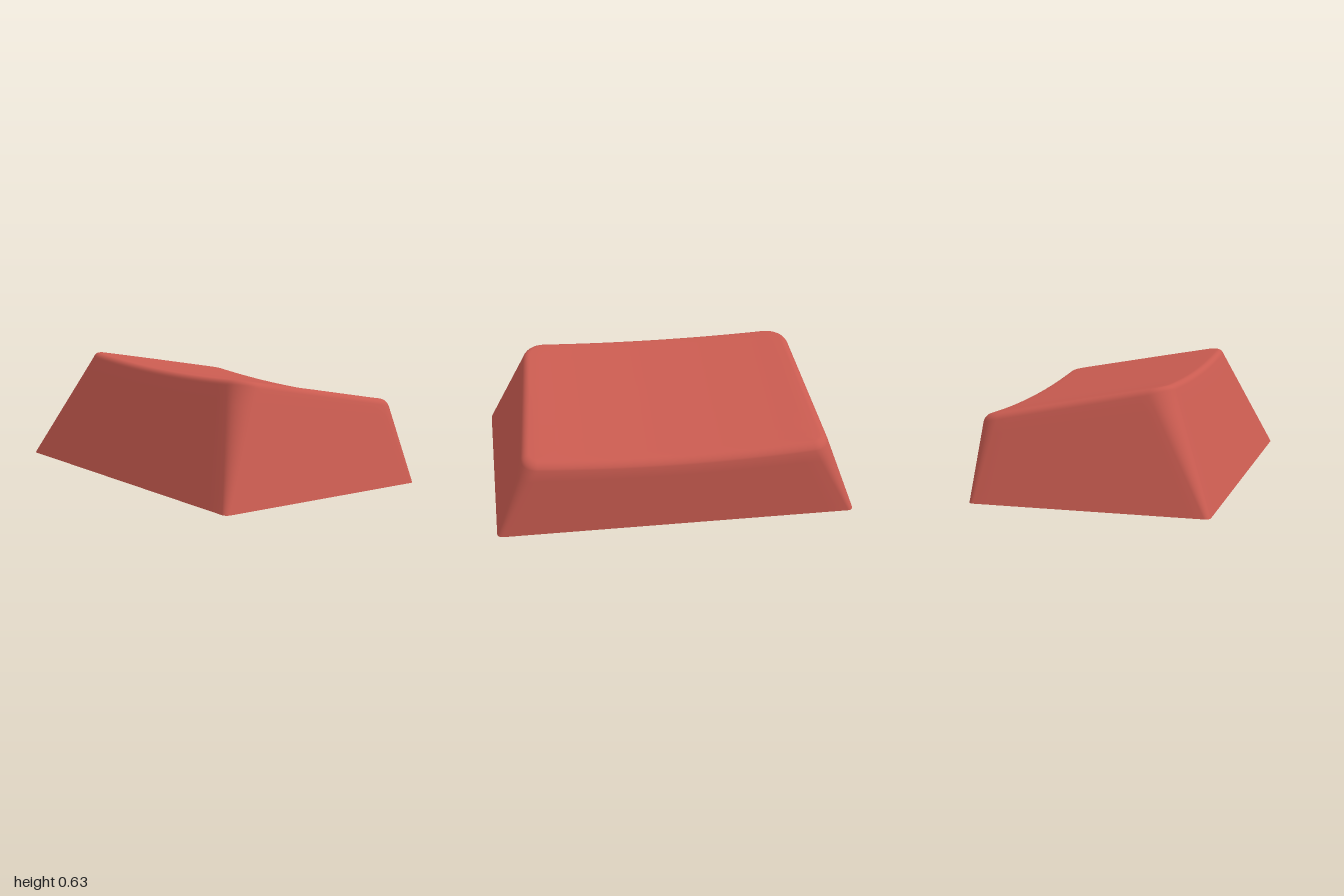
import * as THREE from 'three';
import { toCreasedNormals } from 'three/addons/utils/BufferGeometryUtils.js';

const WALL = 0.1;      // shell thickness
const FILLET = 0.05;   // rounding of the top edge
const CORNER_STEPS = 8, EDGE_STEPS = 16;

// Sloped top surface, dished from side to side
const topHeight = (x, z) => 0.565 + 0.194 * z - 0.03 * (1 - Math.min(1, (x / 0.77) ** 2));

// Rounded-rectangle outline of the tapering walls at height y, as a function of k in 0..1 steps
function outlinePoint(index, y, inset, radius) {
  const hx = 1 - 0.358 * y - inset;
  const zFront = 0.655 - 0.43 * y - inset, zBack = -0.655 + 0.035 * y + inset;
  const corner = (c, a) => {
    const sx = c === 0 || c === 3 ? 1 : -1;
    const angle = (c + a) * Math.PI / 2;
    return [sx * (hx - radius) + radius * Math.cos(angle),
      (c < 2 ? zFront - radius : zBack + radius) + radius * Math.sin(angle)];
  };
  const c = Math.floor(index / (CORNER_STEPS + EDGE_STEPS));
  const s = index % (CORNER_STEPS + EDGE_STEPS);
  if (s <= CORNER_STEPS) return corner(c, s / CORNER_STEPS);
  const t = (s - CORNER_STEPS) / EDGE_STEPS;
  const p = corner(c, 1), q = corner((c + 1) % 4, 0);
  return [p[0] + (q[0] - p[0]) * t, p[1] + (q[1] - p[1]) * t];
}

const COUNT = 4 * (CORNER_STEPS + EDGE_STEPS);

// One ring: the walls cut at a height given by heightAt(x, z), then shrunk and lifted
function ring({ heightAt, inset = 0, inner = false, shrink = 1, lift = 0, finalHeight }) {
  const points = [];
  for (let i = 0; i < COUNT; i++) {
    let y = 0, p;
    for (let n = 0; n < 6; n++) {
      p = outlinePoint(i, y, inset, inner ? 0.005 : Math.max(0.02, 0.03 + 0.16 * y - inset));
      y = heightAt(p[0], p[1]);
    }
    const x = p[0] * shrink, z = -0.125 + (p[1] + 0.125) * shrink;
    points.push([x, finalHeight ? finalHeight(x, z) : y + lift, z]);
  }
  return points;
}

function loft(rings) {
  const index = [];
  for (let i = 0; i < rings.length - 1; i++) {
    for (let j = 0; j < COUNT; j++) {
      const a = i * COUNT + j, b = i * COUNT + (j + 1) % COUNT;
      index.push(a, a + COUNT, b, b, a + COUNT, b + COUNT);
    }
  }
  const geometry = new THREE.BufferGeometry();
  geometry.setAttribute('position', new THREE.Float32BufferAttribute(rings.flat(2), 3));
  geometry.setIndex(index);
  return geometry;
}

// Creasing works on a coarse grid, so it is done at a larger scale
function crease(geometry, angle) {
  geometry.scale(50, 50, 50);
  return toCreasedNormals(geometry, angle).scale(0.02, 0.02, 0.02);
}

function shellGeometry() {
  const rings = [];
  const ceiling = (x, z) => topHeight(x, z) - WALL;
  // underside of the top, then the inner walls down to the rim
  for (const shrink of [0.001, 0.25, 0.5, 0.75, 1]) {
    rings.push(ring({ heightAt: ceiling, inset: WALL, inner: true, shrink, finalHeight: ceiling }));
  }
  rings.push(ring({ heightAt: () => 0, inset: WALL, inner: true }));
  // outer walls up to the fillet
  const a0 = Math.PI / 9;
  const shoulder = (x, z) => topHeight(x, z) - FILLET * (1 - Math.sin(a0));
  for (let i = 0; i <= 6; i++) {
    rings.push(ring({ heightAt: (x, z) => shoulder(x, z) * i / 6 }));
  }
  // rounded top edge
  let inset = 0;
  for (let i = 1; i <= 7; i++) {
    const a = a0 + (Math.PI / 2 - a0) * i / 7;
    inset = FILLET * (Math.cos(a0) - Math.cos(a));
    const drop = FILLET * (1 - Math.sin(a));
    rings.push(ring({ heightAt: shoulder, inset, finalHeight: (x, z) => topHeight(x, z) - drop }));
  }
  // dished top
  for (const shrink of [0.92, 0.8, 0.65, 0.5, 0.35, 0.2, 0.1, 0.001]) {
    rings.push(ring({ heightAt: shoulder, inset, shrink, finalHeight: topHeight }));
  }
  return crease(loft(rings), 0.6);
}

// Round post with a cross-shaped socket
function stemGeometry() {
  const bevel = 0.015, bottom = 0.08, top = 0.48;
  const shape = new THREE.Shape().absarc(0, 0, 0.2 - bevel, 0, Math.PI * 2);
  const long = 0.14, w = 0.035;
  const quarter = [[long, -w], [long, w], [w, w]];
  const cross = [];
  for (let k = 0; k < 4; k++) {
    for (const [x, y] of quarter) {
      cross.push(new THREE.Vector2(x, y).rotateAround(new THREE.Vector2(), k * Math.PI / 2));
    }
  }
  shape.holes.push(new THREE.Path(cross));
  const geometry = new THREE.ExtrudeGeometry(shape, {
    depth: top - bottom - 2 * bevel, curveSegments: 40,
    bevelEnabled: true, bevelSize: bevel, bevelThickness: bevel, bevelSegments: 1,
  });
  geometry.rotateX(-Math.PI / 2).translate(0, bottom + bevel, 0);
  return crease(geometry, 0.5);
}

// Rib from front to back, following the sloped ceiling
function lengthRibGeometry(thickness) {
  const shape = new THREE.Shape([[0.45, 0.345], [0.4, 0.55], [-0.6, 0.37], [-0.6, 0.345]]
    .map(([z, y]) => new THREE.Vector2(z, y)));
  return new THREE.ExtrudeGeometry(shape, { depth: thickness, bevelEnabled: false })
    .rotateY(-Math.PI / 2).translate(thickness / 2, 0, 0);
}

export function createModel() {
  const group = new THREE.Group();
  group.name = 'keycap';
  const red = new THREE.MeshStandardMaterial({ color: 0xc95b50 });
  const grey = new THREE.MeshStandardMaterial({ color: 0xcccccc });
  const add = (name, geometry, material) => {
    const mesh = new THREE.Mesh(geometry, material);
    mesh.name = name;
    group.add(mesh);
  };
  add('shell', shellGeometry(), red);
  add('crossRib', new THREE.BoxGeometry(1.6, 0.145, 0.08).translate(0, 0.4175, 0), red);
  add('lengthRib', lengthRibGeometry(0.08), red);
  add('stem', stemGeometry(), grey);
  return group;
}
